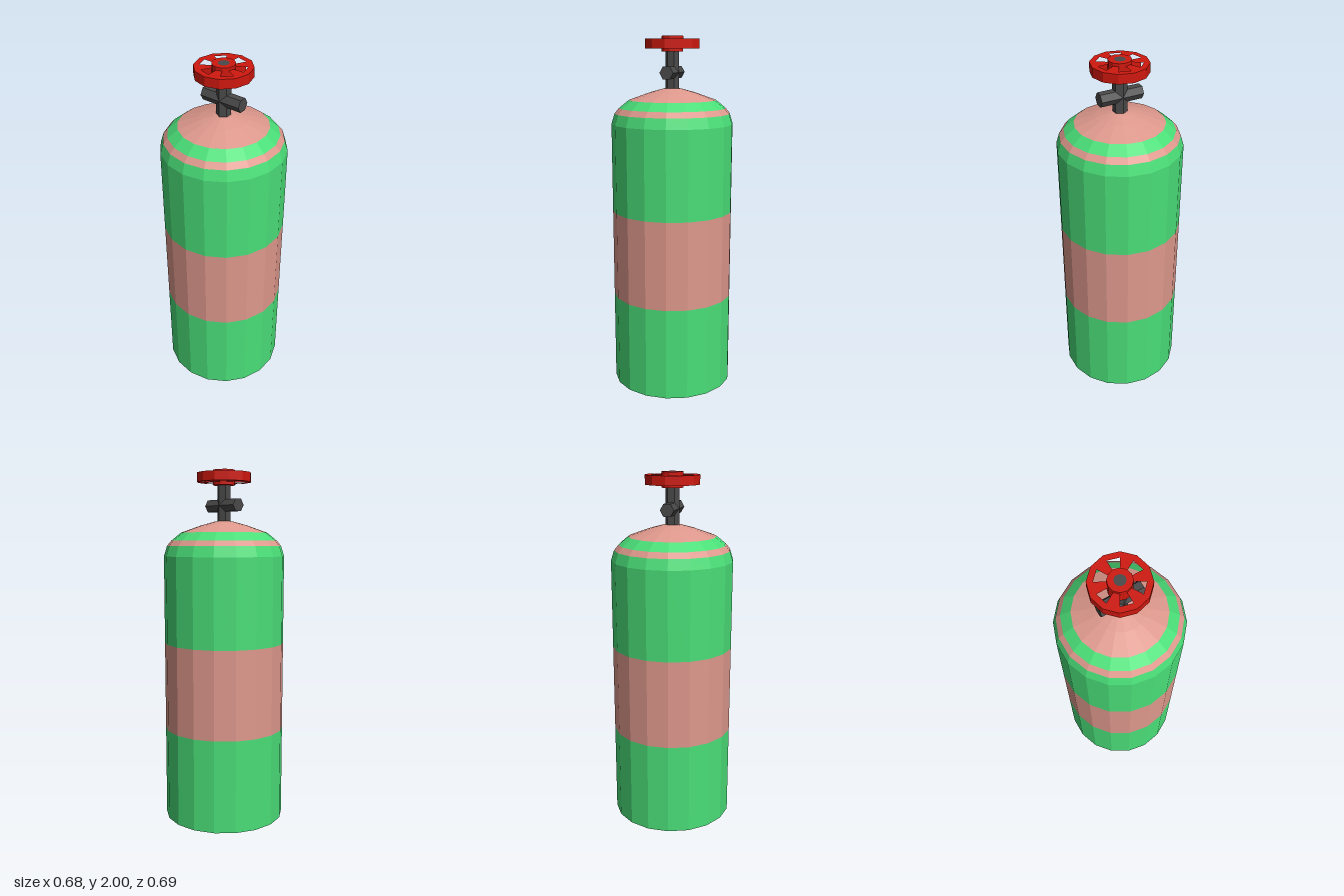
import * as THREE from 'three';

const material = (color) => new THREE.MeshStandardMaterial({ color, flatShading: true });

export function createModel() {
  const model = new THREE.Group();
  const green = material(0x4ade78);
  const pink = material(0xde988c);
  const red = material(0xcf180e);
  const dark = material(0x4a4a4a);

  const add = (name, geometry, mat, parent = model) => {
    const mesh = new THREE.Mesh(geometry, mat);
    mesh.name = name;
    parent.add(mesh);
    return mesh;
  };
  const lathe = (points, sides) =>
    new THREE.LatheGeometry(points.map(([r, y]) => new THREE.Vector2(r, y)), sides);

  // Tank: 18-sided coloured bands, each a profile of [radius, height]
  const tank = new THREE.Group();
  tank.name = 'tank';
  model.add(tank);
  const R = 0.343;
  const bands = [
    ['lowerBody', green, [[0, 0], [R, 0], [R, 0.525]]],
    ['middleBand', pink, [[R, 0.525], [R, 1.025]]],
    ['upperBody', green, [[R, 1.025], [R, 1.52], [0.325, 1.578]]],
    ['shoulderStripe', pink, [[0.325, 1.578], [0.3, 1.608]]],
    ['shoulder', green, [[0.3, 1.608], [0.245, 1.652]]],
    ['dome', pink, [[0.245, 1.652], [0.13, 1.693], [0.05, 1.715], [0, 1.718]]],
  ];
  for (const [name, mat, profile] of bands) add(name, lathe(profile, 18), mat, tank);

  // Valve: hexagonal stem with a hexagonal cross bar
  const valve = new THREE.Group();
  valve.name = 'valve';
  model.add(valve);
  add('stem', new THREE.CylinderGeometry(0.039, 0.039, 0.24, 6), dark, valve).position.y = 1.815;
  const bar = new THREE.CylinderGeometry(0.039, 0.039, 0.242, 6).rotateZ(Math.PI / 2);
  add('crossBar', bar, dark, valve).position.y = 1.803;

  // Hand wheel: 12-sided plate with every second sector cut out
  const wheel = new THREE.Group();
  wheel.name = 'handWheel';
  model.add(wheel);
  const corner = (r, i) =>
    new THREE.Vector2(r * Math.sin((i * Math.PI) / 6), r * Math.cos((i * Math.PI) / 6));
  const plate = new THREE.Shape(Array.from({ length: 12 }, (_, i) => corner(0.154, i)));
  for (let i = 0; i < 12; i += 2) {
    plate.holes.push(new THREE.Path([
      corner(0.062, i), corner(0.122, i), corner(0.122, i + 1), corner(0.062, i + 1),
    ]));
  }
  const rim = new THREE.ExtrudeGeometry(plate, { depth: 0.052, bevelEnabled: false });
  rim.rotateX(-Math.PI / 2);
  add('wheelRim', rim, red, wheel).position.y = 1.932;

  // Hub ring around the dark spindle end
  const hub = [[0.03, 1.915], [0.062, 1.915], [0.062, 2], [0.03, 2]];
  add('wheelHub', lathe(hub, 12), red, wheel);
  add('spindleEnd', new THREE.CylinderGeometry(0.03, 0.03, 0.085, 12), dark, wheel).position.y = 1.9575;

  return model;
}
